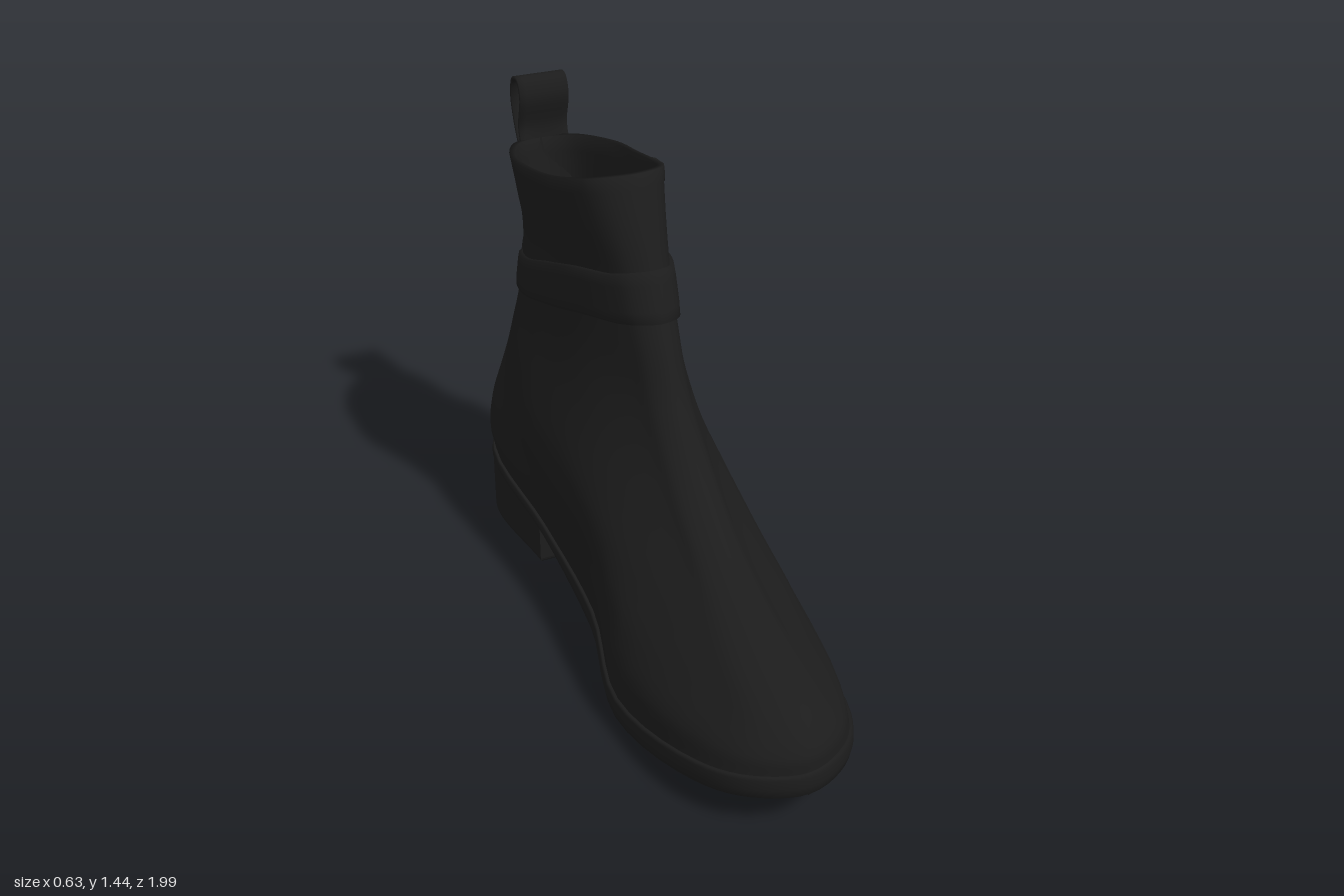
import * as THREE from 'three';

const V = (x, y, z) => new THREE.Vector3(x, y, z);
const { lerp, smoothstep } = THREE.MathUtils;

// Tilted loops of the boot: [yBack, zBack, yFront, zFront, sag, half widths from back to front]
const LOOPS = [
  [0.26, -0.955, 0.185, 0.985, 0.14, [0.205, 0.215, 0.24, 0.298, 0.225]],
  [0.33, -0.988, 0.23, 0.978, 0.09, [0.21, 0.222, 0.24, 0.294, 0.21]],
  [0.42, -0.995, 0.295, 0.92, 0.07, [0.195, 0.225, 0.24, 0.262, 0.155]],
  [0.50, -0.99, 0.37, 0.73, 0.05, [0.17, 0.23, 0.24, 0.225, 0.12]],
  [0.58, -0.979, 0.475, 0.46, 0.03, [0.15, 0.225, 0.23, 0.195, 0.095]],
  [0.67, -0.96, 0.60, 0.22, 0.02, [0.14, 0.21, 0.212, 0.175, 0.09]],
  [0.77, -0.935, 0.75, 0.06, 0.01, [0.13, 0.188, 0.19, 0.16, 0.085]],
  [0.90, -0.91, 0.90, -0.02, 0, [0.12, 0.163, 0.165, 0.145, 0.085]],
  [1.03, -0.90, 1.05, -0.09, 0, [0.115, 0.156, 0.157, 0.142, 0.09]],
  [1.13, -0.905, 1.20, -0.14, 0.01, [0.12, 0.165, 0.166, 0.152, 0.105]],
  [1.24, -0.92, 1.36, -0.20, 0.02, [0.12, 0.175, 0.178, 0.167, 0.125]],
];
const STEPS = [0, 0.03, 0.1, 0.3, 0.5, 0.7, 0.9, 0.97, 1];

// Centre line bends along the foot and straightens in the shaft
const centreX = (y, z) => lerp(
  z > 0 ? 0.03 - 0.045 * smoothstep(z, 0, 0.6) - 0.02 * z * z : 0.03 - 0.048 * smoothstep(-z, 0.05, 0.75),
  0.043 - 0.013 * smoothstep(y, 1, 1.3),
  smoothstep(y, 0.33, 0.85));

const loopCurves = LOOPS.map(([yB, zB, yF, zF, sag, w]) => {
  const widths = [0, 0.6 * w[0], ...w, 0.6 * w[4], 0];
  const at = (k, side) => {
    const f = STEPS[k], z = lerp(zB, zF, f);
    const dip = Math.pow(Math.max(0, Math.sin(Math.PI * Math.pow(f, 1.3))), 1.3);
    const y = lerp(yB, yF, f) - sag * dip;
    return V(centreX(y, z) + side * widths[k], y, z);
  };
  const pts = STEPS.map((_, k) => at(k, 1));
  for (let k = STEPS.length - 2; k > 0; k--) pts.push(at(k, -1));
  return new THREE.CatmullRomCurve3(pts, true);
});

const wrap = t => ((t % 1) + 1) % 1;
const column = t => new THREE.CatmullRomCurve3(loopCurves.map(c => c.getPoint(wrap(t))));

// Point on the boot at loop position t (0 back, 0.5 front) and level v, pushed outward by off
function skin(t, v, off = 0) {
  const p = column(t).getPoint(v);
  if (!off) return p;
  const d = column(t + 0.008).getPoint(v).sub(column(t - 0.008).getPoint(v));
  return p.add(V(d.z, 0, -d.x).normalize().multiplyScalar(off));
}

// Same, but found by height
function skinAtHeight(t, y, off) {
  const c = column(t);
  let a = 0, b = 1;
  for (let i = 0; i < 16; i++) {
    const m = (a + b) / 2;
    if (c.getPoint(m).y < y) a = m; else b = m;
  }
  return skin(t, a, off);
}

// Grid surface from fn(i, j); u may be closed
function grid(nu, nv, fn, closed) {
  const pos = [], idx = [];
  for (let j = 0; j < nv; j++) for (let i = 0; i < nu; i++) pos.push(...fn(i, j).toArray());
  for (let j = 0; j < nv - 1; j++) {
    for (let i = 0; i < (closed ? nu : nu - 1); i++) {
      const k = (i + 1) % nu;
      const a = j * nu + i, b = j * nu + k, c = a + nu, d = b + nu;
      idx.push(a, c, b, c, d, b);
    }
  }
  const g = new THREE.BufferGeometry();
  g.setAttribute('position', new THREE.Float32BufferAttribute(pos, 3));
  g.setIndex(idx);
  g.computeVertexNormals();
  return g;
}

// Strap hugging the boot; keys are [t, lower y, upper y]
function strap(keys, thick, n) {
  const path = new THREE.CatmullRomCurve3(keys.map(k => V(...k)));
  const rows = [[0, -0.004], [0.02, thick], [0.25, thick * 1.2], [0.75, thick * 1.2], [0.98, thick], [1, -0.004]];
  return grid(n, rows.length, (i, j) => {
    const k = path.getPoint(i / (n - 1));
    const off = i === 0 || i === n - 1 ? -0.002 : rows[j][1];
    return skinAtHeight(k.x, lerp(k.y, k.z, rows[j][0]), off);
  }, false);
}

export function createModel() {
  const boot = new THREE.Group();
  boot.name = 'ankleBoot';
  const black = new THREE.MeshStandardMaterial({ color: 0x1c1c1c, side: THREE.DoubleSide });
  black.name = 'black leather';
  const gold = new THREE.MeshStandardMaterial({ color: 0xb5a642 });
  gold.name = 'brass';
  const add = (name, geo, mat = black, parent = boot) => {
    const m = new THREE.Mesh(geo, mat);
    m.name = name;
    parent.add(m);
    return m;
  };

  // Upper: outside wall, over the rim, down the lining to the insole
  const N = 80, OUT = 40, IN = 20;
  add('upper', grid(N, OUT + IN + 1, (i, j) => {
    const t = i / N;
    if (j < OUT) return skin(t, j / (OUT - 1));
    if (j < OUT + IN) return skin(t, lerp(1, 0.15, (j - OUT) / (IN - 1)), -0.018);
    return V(0.02, 0.25, -0.3);
  }, true));

  // Sole: [outward offset, share of thickness], first row closes along the spine; thinner at the arch
  const soleRows = [[0, 1], [-0.004, 1], [0.008, 0.86], [0.013, 0.5], [0.011, 0.1], [0.006, 0], [-0.03, 0]];
  add('sole', grid(N, soleRows.length, (i, j) => {
    const p = skin(i / N, 0, soleRows[j][0]);
    if (j === 0) p.x = centreX(p.y, p.z);
    p.y -= soleRows[j][1] * lerp(0.076, 0.045, smoothstep(-p.z, 0, 0.4));
    return p;
  }, true));

  // Heel block: back of the sole outline, its top following the sole
  const outline = [];
  for (let i = -60; i <= 60; i++) {
    const p = skin(i / 180, 0, 0.01);
    if (p.z < -0.385) outline.push(p);
  }
  const heelShape = new THREE.Shape(outline.map(p => new THREE.Vector2(p.x, -p.z)));
  const heel = new THREE.ExtrudeGeometry(heelShape, {
    depth: 0.2, bevelEnabled: true, bevelSize: 0.014, bevelThickness: 0.016, bevelOffset: -0.014, bevelSegments: 3,
  });
  heel.rotateX(-Math.PI / 2);
  heel.translate(0, 0.02, 0);
  const hp = heel.attributes.position;
  for (let i = 0; i < hp.count; i++) {
    if (hp.getY(i) > 0.1) hp.setY(i, lerp(0.155, 0.25, (-0.385 - hp.getZ(i)) / 0.56));
  }
  heel.computeVertexNormals();
  add('heel', heel);

  // Ankle strap: crosses the front, drops round the back and ends in a wide tab
  add('ankleStrap', strap([
    [0.122, 0.85, 0.89], [0.145, 0.835, 0.93], [0.2125, 0.86, 0.975], [0.265, 0.89, 1.015], [0.3475, 0.935, 1.07],
    [0.5, 0.965, 1.105], [0.6525, 0.94, 1.075], [0.75, 0.88, 1.01], [0.8625, 0.805, 0.915], [1, 0.765, 0.855],
  ], 0.012, 120));
  add('strapTab', strap([
    [-0.01, 0.765, 0.855], [0.075, 0.745, 0.835], [0.1675, 0.68, 0.815], [0.2425, 0.6, 0.8],
  ], 0.01, 36));
  add('rimPatch', strap([[0.295, 1.262, 1.3], [0.325, 1.27, 1.312], [0.351, 1.278, 1.328]], 0.007, 10));

  // Pull tab: back strip running up into a loop, [y, z]
  const tabPath = new THREE.CatmullRomCurve3([
    [0.56, -0.989], [0.58, -0.988], [0.66, -0.979], [0.78, -0.971], [0.87, -0.95], [0.94, -0.922], [1.05, -0.914],
    [1.18, -0.922], [1.26, -0.94], [1.37, -0.968], [1.425, -0.95], [1.43, -0.91], [1.38, -0.888],
    [1.28, -0.91], [1.2, -0.902], [1.1, -0.882],
  ].map(([y, z]) => V(0, y, z)));
  add('pullTab', grid(18, 90, (i, j) => {
    const p = tabPath.getPoint(j / 89), d = tabPath.getTangent(j / 89);
    const tip = Math.sqrt(Math.min(1, 0.08 + j / 8));
    const across = i < 9 ? i / 4 - 1 : (17 - i) / 4 - 1;
    const half = i < 9 ? 0.006 : -0.006;
    const x = across * 0.08 * tip;
    const hug = 4.2 * x * x * (1 - smoothstep(p.y, 1.15, 1.3));
    return V(x + 0.04, p.y + d.z * half, p.z - d.y * half + hug);
  }, true));

  // Buckle: rounded square frame with a prong
  const buckle = new THREE.Group();
  buckle.name = 'buckle';
  const soft = a => Math.sign(a) * Math.pow(Math.abs(a), 0.6);
  const frame = [];
  for (let i = 0; i < 32; i++) {
    const a = (i / 32) * Math.PI * 2;
    frame.push(V(0, 0.092 * soft(Math.sin(a)), 0.083 * soft(Math.cos(a))));
  }
  add('buckleFrame', new THREE.TubeGeometry(new THREE.CatmullRomCurve3(frame, true), 64, 0.0155, 8, true), gold, buckle)
    .scale.x = 0.75;
  const prong = new THREE.CapsuleGeometry(0.012, 0.05, 4, 8);
  prong.rotateX(Math.PI / 2);
  prong.translate(0.002, 0, 0.062);
  add('buckleProng', prong, gold, buckle);
  buckle.position.set(0.226, 0.942, -0.495);
  buckle.rotation.set(-0.1, 0, 0.04);
  boot.add(buckle);

  return boot;
}
